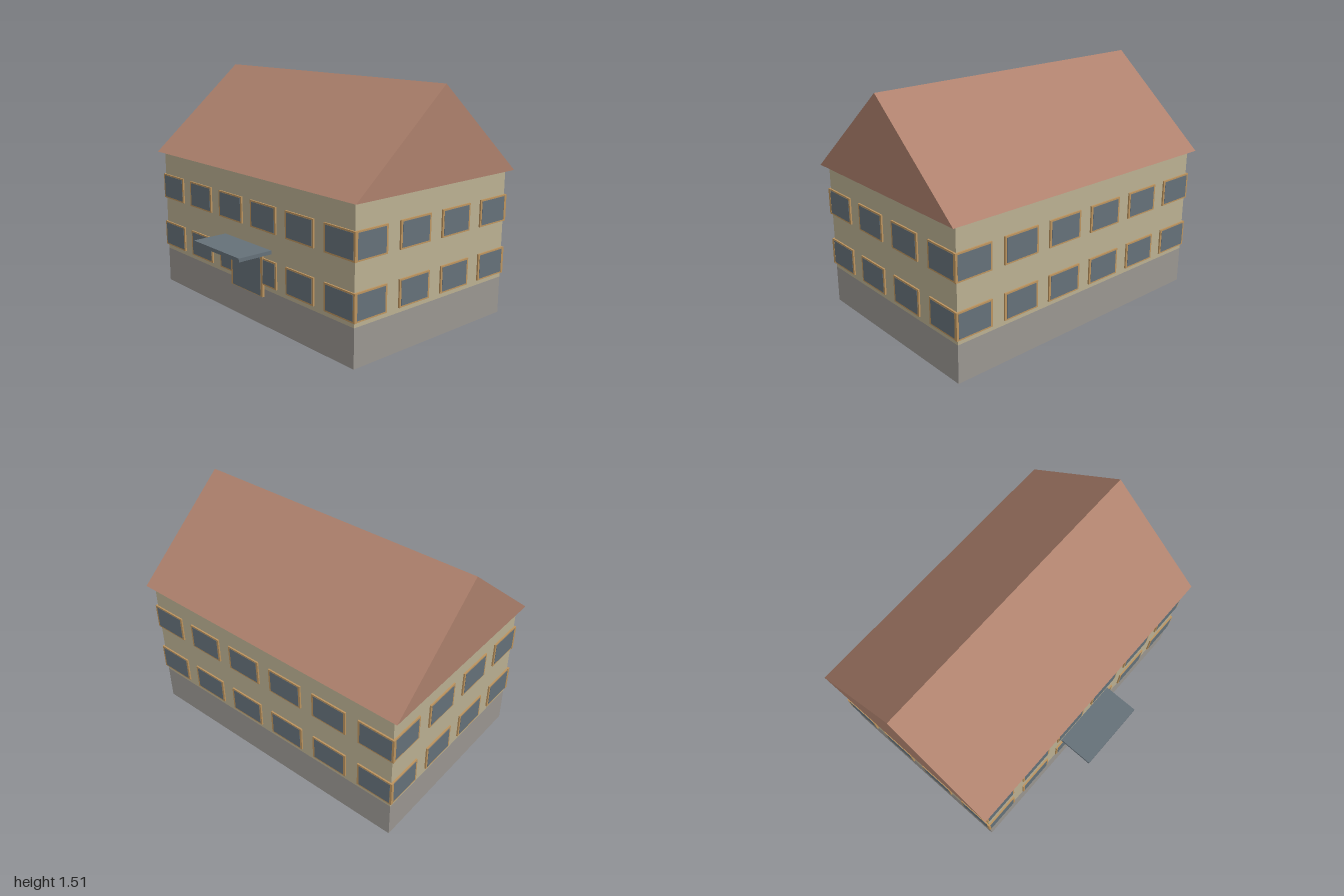
import * as THREE from 'three';

const mat = (name, color) => {
  const m = new THREE.MeshStandardMaterial({ color });
  m.name = name;
  return m;
};

export function createModel() {
  const house = new THREE.Group();
  house.name = 'house';
  const plaster = mat('cream plaster', 0xbcb193);
  const stone = mat('grey plinth', 0x9b9792);
  const tile = mat('roof tile', 0xae816d);
  const glass = mat('blue grey glass', 0x66727a);
  const wood = mat('ochre wood', 0xbd9560);

  const box = (name, material, w, h, d, x, y, z, parent = house) => {
    const mesh = new THREE.Mesh(new THREE.BoxGeometry(w, h, d), material);
    mesh.name = name;
    mesh.position.set(x, y, z);
    parent.add(mesh);
    return mesh;
  };

  // The main body is centred slightly behind the origin, leaving room for the canopy
  const midZ = -0.1, halfX = 0.96, halfZ = 0.64;
  box('plinth', stone, 2 * halfX, 0.24, 2 * halfZ, 0, 0.12, midZ);
  box('walls', plaster, 2 * halfX, 0.7, 2 * halfZ, 0, 0.59, midZ);

  // Gabled roof as a solid prism along x
  const gable = new THREE.Shape();
  gable.moveTo(-0.675, 0.937);
  gable.lineTo(0.675, 0.937);
  gable.lineTo(0, 1.51);
  gable.closePath();
  const roofGeo = new THREE.ExtrudeGeometry(gable, { depth: 2, bevelEnabled: false });
  roofGeo.translate(0, 0, -1).rotateY(Math.PI / 2);
  const roof = new THREE.Mesh(roofGeo, tile);
  roof.name = 'roof';
  roof.position.z = midZ;
  house.add(roof);

  // A wall of windows: two rows, the given columns, facing local +z
  const windowWall = (name, columns, pitch, distance, angle) => {
    const wall = new THREE.Group();
    wall.name = name;
    for (const y of [0.355, 0.697]) {
      for (let i = 0; i < columns; i++) {
        const x = (i - (columns - 1) / 2) * pitch;
        box('windowFrame', wood, 0.25, 0.17, 0.02, x, y, distance, wall);
        box('windowGlass', glass, 0.222, 0.15, 0.006, x, y, distance + 0.0085, wall);
      }
    }
    wall.position.z = midZ;
    wall.rotation.y = angle;
    house.add(wall);
  };
  windowWall('frontWindows', 6, 0.339, halfZ, 0);
  windowWall('backWindows', 6, 0.339, halfZ, Math.PI);
  windowWall('leftWindows', 4, 0.35, halfX, Math.PI / 2);
  windowWall('rightWindows', 4, 0.35, halfX, -Math.PI / 2);

  // Entrance with frame, door and flat canopy
  box('doorFrame', wood, 0.33, 0.275, 0.028, 0, 0.3275, 0.54);
  box('door', glass, 0.29, 0.245, 0.006, 0, 0.3175, 0.553);
  box('canopy', glass, 0.48, 0.024, 0.24, 0, 0.492, 0.657);

  return house;
}
